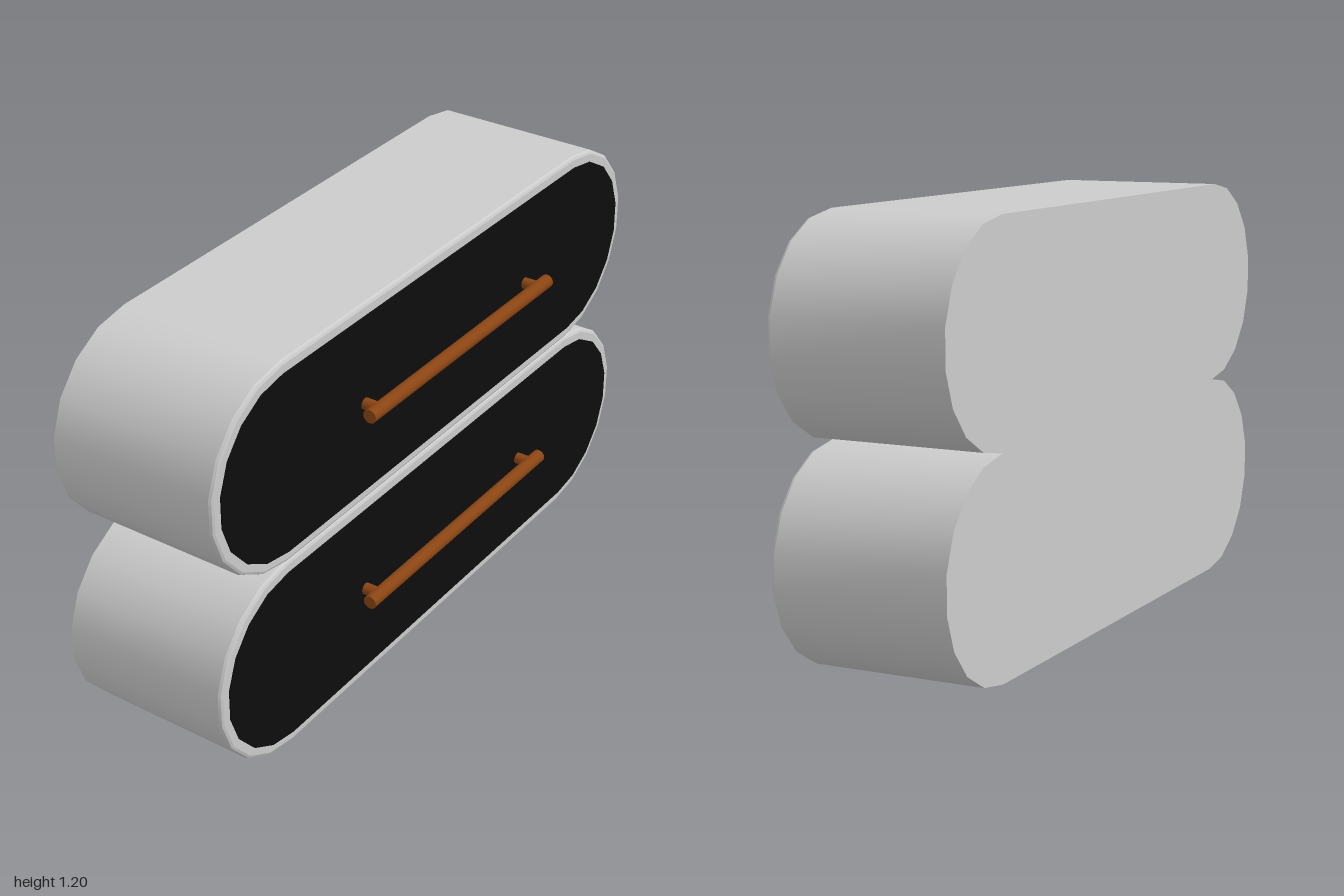
import * as THREE from 'three';
import { mergeGeometries } from 'three/addons/utils/BufferGeometryUtils.js';

const CENTER = 0.7046, RADIUS = 0.3, ARC = 9;
const BACK = -0.29, FACE = 0.213;

// Stadium outline in the z-y plane as [z, y], shrunk by inset
function outline(inset) {
  const pts = [];
  for (const side of [1, -1]) {
    for (let i = 0; i <= ARC; i++) {
      const a = -Math.PI / 2 + (Math.PI * i) / ARC;
      const r = RADIUS - inset;
      pts.push([side * (CENTER + Math.cos(a) * r), side * Math.sin(a) * r]);
    }
  }
  return pts;
}

// Smooth wall between two stadium outlines at different x
function band(x0, inset0, x1, inset1) {
  const a = outline(inset0), b = outline(inset1), n = a.length;
  const pos = [], index = [];
  a.forEach(([z, y]) => pos.push(x0, y, z));
  b.forEach(([z, y]) => pos.push(x1, y, z));
  for (let i = 0; i < n; i++) {
    const j = (i + 1) % n;
    index.push(i, n + j, j, i, n + i, n + j);
  }
  const g = new THREE.BufferGeometry();
  g.setAttribute('position', new THREE.Float32BufferAttribute(pos, 3));
  g.setIndex(index);
  g.computeVertexNormals();
  return g;
}

// Flat stadium facing +x (dir 1) or -x (dir -1)
function cap(x, inset, dir) {
  const shape = new THREE.Shape(outline(inset).map(([z, y]) => new THREE.Vector2(z, y)));
  const g = new THREE.ShapeGeometry(shape);
  g.deleteAttribute('uv');
  return g.rotateY((dir * Math.PI) / 2).translate(x, 0, 0);
}

function add(parent, name, geometry, material) {
  const mesh = new THREE.Mesh(geometry, material);
  mesh.name = name;
  parent.add(mesh);
  return mesh;
}

export function createModel() {
  const grey = new THREE.MeshStandardMaterial({ color: 0xcccccc, side: THREE.DoubleSide });
  const black = new THREE.MeshStandardMaterial({ color: 0x0d0d0d, side: THREE.DoubleSide });
  const brown = new THREE.MeshStandardMaterial({ color: 0x8b4513 });

  // Casing with a softened front edge and a square back
  const casing = mergeGeometries([
    cap(BACK, 0, -1),
    band(BACK, 0, 0.203, 0),
    band(0.203, 0, 0.21, 0.003),
    band(0.21, 0.003, FACE, 0.01),
    cap(FACE, 0.01, 1),
  ]);

  // Thin front panel standing slightly proud of the casing
  const panel = mergeGeometries([band(FACE, 0.034, 0.218, 0.034), cap(0.218, 0.034, 1)]);

  const rod = new THREE.CylinderGeometry(0.02, 0.02, 0.895, 16).rotateX(Math.PI / 2);
  const post = new THREE.CylinderGeometry(0.017, 0.017, 0.06, 16).rotateZ(Math.PI / 2);

  const model = new THREE.Group();
  model.name = 'drawerUnit';
  ['lowerDrawer', 'upperDrawer'].forEach((name, i) => {
    const drawer = new THREE.Group();
    drawer.name = name;
    drawer.position.y = RADIUS + i * 0.6;
    add(drawer, 'casing', casing, grey);
    add(drawer, 'frontPanel', panel, black);

    // Bar handle on two short posts
    const handle = new THREE.Group();
    handle.name = 'handle';
    handle.position.set(0.265, 0.008, -0.038);
    add(handle, 'handleBar', rod, brown);
    for (const s of [-1, 1]) add(handle, 'handlePost', post, brown).position.set(-0.03, 0, s * 0.4);
    drawer.add(handle);
    model.add(drawer);
  });
  return model;
}
